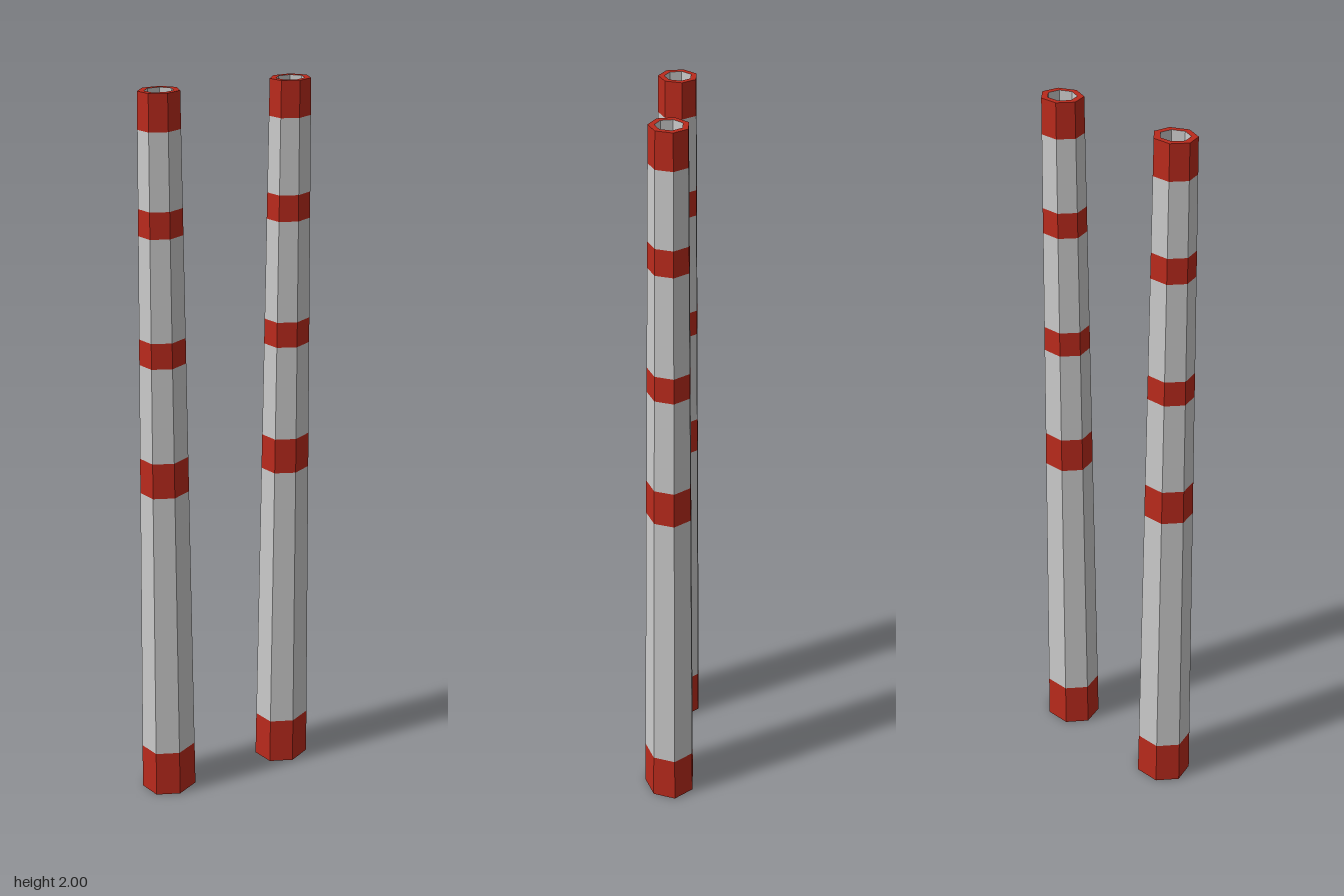
import * as THREE from 'three';

const SIDES = 7, HEIGHT = 2, BASE_R = 0.0815, TOP_R = 0.0568, BORE_R = 0.0393, BORE_FLOOR = 1.9;
const STRETCH_X = 0.895; // the stacks are slightly narrower across x

const grey = new THREE.MeshStandardMaterial({ color: 0xcccccc, flatShading: true });
const red = new THREE.MeshStandardMaterial({ color: 0xba2a1c, flatShading: true });

// outer radius of the tapering stack at height y
const radiusAt = (y) => THREE.MathUtils.lerp(BASE_R, TOP_R, y / HEIGHT);

// seven-sided turned section from [radius, height] pairs
function section(name, profile, material) {
  const points = profile.map(([r, y]) => new THREE.Vector2(r, y));
  const mesh = new THREE.Mesh(new THREE.LatheGeometry(points, SIDES, Math.PI), material);
  mesh.name = name;
  return mesh;
}

function createChimney() {
  const chimney = new THREE.Group();

  // alternating red and grey bands, bottom to top
  const levels = [0, 0.135, 0.925, 1.025, 1.29, 1.36, 1.635, 1.705, 1.905, HEIGHT];
  for (let i = 0; i < levels.length - 1; i++) {
    const [low, high] = [levels[i], levels[i + 1]];
    const isRed = i % 2 === 0;
    chimney.add(section(isRed ? 'redBand' : 'shaft',
      [[radiusAt(low), low], [radiusAt(high), high]], isRed ? red : grey));
  }

  // underside, rim and hollow mouth
  chimney.add(section('underside', [[0, 0], [BASE_R, 0]], grey));
  chimney.add(section('rim', [[TOP_R, HEIGHT], [BORE_R, HEIGHT]], red));
  chimney.add(section('mouth', [[BORE_R, HEIGHT], [BORE_R, BORE_FLOOR], [0, BORE_FLOOR]], grey));

  chimney.scale.x = STRETCH_X;
  return chimney;
}

export function createModel() {
  const model = new THREE.Group();
  model.name = 'chimneys';
  for (const [name, x, z] of [['frontChimney', -0.042, 0.1855], ['backChimney', 0.042, -0.1775]]) {
    const chimney = createChimney();
    chimney.name = name;
    chimney.position.set(x, 0, z);
    model.add(chimney);
  }
  return model;
}
